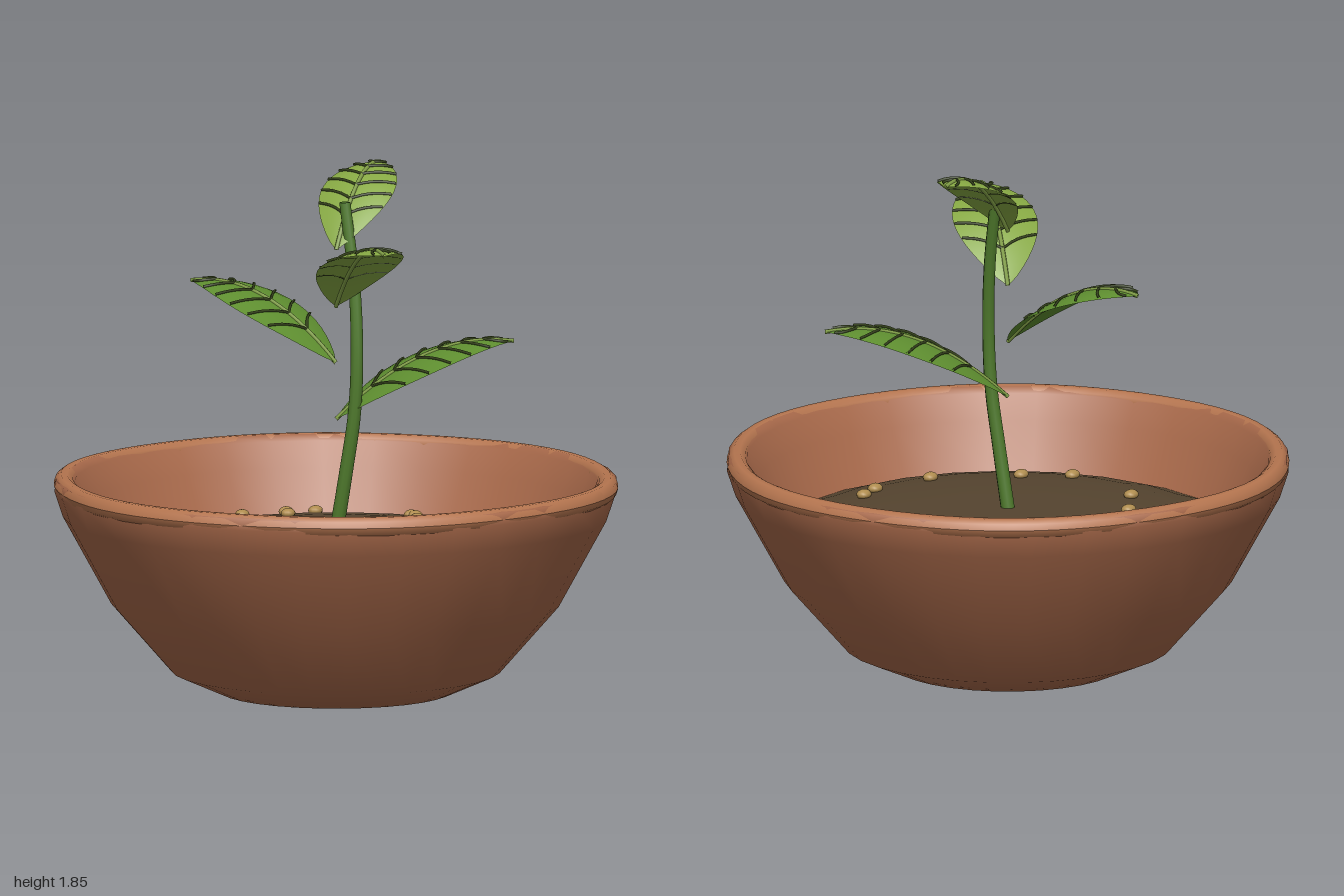
import * as THREE from 'three';

const mat = (color, side = THREE.FrontSide) =>
  new THREE.MeshStandardMaterial({ color, side });
const V2 = (p) => p.map(([x, y]) => new THREE.Vector2(x, y));

function add(parent, name, geometry, material) {
  const mesh = new THREE.Mesh(geometry, material);
  mesh.name = name;
  parent.add(mesh);
  return mesh;
}

// Height of the soil mound at distance r from the middle
const soilY = (r) => 0.58 - 0.075 * Math.pow(r / 0.79, 4);

// Leaf blade: x = distance out from the stem, y = arch, z = across
function leafPoint(leaf, s, v) {
  const half = leaf.width * Math.pow(Math.max(0, Math.sin(Math.PI * Math.pow(s, 0.95))), 0.85);
  const arch = 0.26 * (1 - Math.pow(1 - s / 0.85, 2));
  return new THREE.Vector3(s * leaf.length, arch - 0.03 * v * v * Math.sin(Math.PI * s), v * half);
}

function bladeGeometry(leaf, nu = 18, nv = 8) {
  const g = new THREE.PlaneGeometry(1, 1, nu, nv);
  const pos = g.attributes.position;
  for (let i = 0; i < pos.count; i++) {
    const p = leafPoint(leaf, pos.getX(i) + 0.5, -pos.getY(i) * 2);
    pos.setXYZ(i, p.x, p.y, p.z);
  }
  g.computeVertexNormals();
  return g;
}

function makeLeaf(leaf) {
  const group = new THREE.Group();
  group.name = 'leaf';
  add(group, 'leafBlade', bladeGeometry(leaf), mat(leaf.color, THREE.DoubleSide));

  // Midrib along the centre line
  const mid = [];
  for (let i = 0; i <= 8; i++) mid.push(leafPoint(leaf, i / 8, 0));
  add(group, 'midrib',
    new THREE.TubeGeometry(new THREE.CatmullRomCurve3(mid), 20, 0.008, 6), mat(0x7f9c45));

  // Side veins sweep towards the tip in pairs
  const veinMat = mat(0x35421c);
  for (let i = 0; i < 6; i++) {
    const s = 0.2 + i * 0.125;
    for (const side of [-1, 1]) {
      const pts = [0, 0.33, 0.66, 0.98].map((v) => {
        const p = leafPoint(leaf, Math.min(0.985, s + 0.13 * v), side * v);
        p.y += 0.004;
        return p;
      });
      add(group, 'vein',
        new THREE.TubeGeometry(new THREE.CatmullRomCurve3(pts), 8, 0.005, 5), veinMat);
    }
  }
  group.position.set(0, leaf.y, 0);
  group.rotation.y = Math.atan2(-leaf.tip[1], leaf.tip[0]);
  return group;
}

export function createModel() {
  const model = new THREE.Group();
  model.name = 'pottedSeedling';
  const clay = mat(0xa8694a, THREE.DoubleSide);

  // Bowl: outer wall, lip, then inner wall down below the soil
  add(model, 'bowl', new THREE.LatheGeometry(V2([
    [0, 0.01], [0.41, 0.015], [0.58, 0.09], [0.79, 0.33], [0.96, 0.64],
    [0.99, 0.73], [0.985, 0.77], [0.95, 0.78], [0.92, 0.76], [0.88, 0.67], [0.79, 0.5], [0.72, 0.38],
  ]), 32), clay);

  // Rolled rim, slightly uneven as if made by hand
  const rim = new THREE.TorusGeometry(0.957, 0.037, 10, 72);
  rim.rotateX(Math.PI / 2);
  const rp = rim.attributes.position;
  for (let i = 0; i < rp.count; i++) {
    const k = 1 + 0.006 * Math.cos(6 * Math.atan2(rp.getZ(i), rp.getX(i)));
    rp.setXYZ(i, rp.getX(i) * k, rp.getY(i), rp.getZ(i) * k);
  }
  rim.computeVertexNormals();
  add(model, 'rim', rim, mat(0xb5754f)).position.y = 0.746;

  // Drain disc under the bowl
  add(model, 'drainDisc', new THREE.CylinderGeometry(0.08, 0.08, 0.02, 24), clay).position.y = 0.01;

  // Mounded soil
  const soil = [0.79, 0.7, 0.6, 0.45, 0.25, 0].map((r) => [r, soilY(r)]);
  add(model, 'soil', new THREE.LatheGeometry(V2(soil), 24), mat(0x55442f, THREE.DoubleSide));

  // Pebbles scattered over the soil
  const pebbleGeo = new THREE.SphereGeometry(1, 12, 8).scale(0.025, 0.018, 0.032);
  const pebbleMat = mat(0xb08d4f);
  [[-0.28, -0.57], [-0.5, -0.42], [-0.34, -0.43], [-0.3, -0.34], [0.115, -0.46], [0.135, -0.45],
    [0.17, -0.37], [0.46, -0.41], [0.54, -0.29], [0.55, -0.05], [0.56, 0.05], [0.46, 0.27],
    [0.19, 0.44], [0.045, 0.55], [-0.29, 0.37], [-0.39, 0.17], [-0.63, 0.07], [-0.66, -0.12],
  ].forEach(([x, z]) => {
    add(model, 'pebble', pebbleGeo, pebbleMat).position.set(x, soilY(Math.hypot(x, z)) + 0.008, z);
  });

  // Bent stem, thinner towards the top
  const path = new THREE.CatmullRomCurve3([
    [0, 0.57, 0], [0.04, 0.8, 0.005], [0.07, 1.0, 0.005], [0.078, 1.2, 0],
    [0.06, 1.45, -0.025], [0.012, 1.74, -0.06],
  ].map((p) => new THREE.Vector3(...p)));
  const stem = new THREE.TubeGeometry(path, 32, 0.025, 10);
  const sp = stem.attributes.position;
  for (let i = 0; i < sp.count; i++) {
    const t = Math.floor(i / 11) / 32;
    const c = path.getPointAt(t);
    const p = new THREE.Vector3().fromBufferAttribute(sp, i).sub(c).multiplyScalar(1 - 0.22 * t).add(c);
    sp.setXYZ(i, p.x, p.y, p.z);
  }
  const green = mat(0x4f7a2c);
  add(model, 'stem', stem, green);
  add(model, 'stemTip', new THREE.CylinderGeometry(0.019, 0.019, 0.006, 10), green)
    .position.set(0.012, 1.739, -0.06);

  // Four leaves spiralling up the stem
  [
    { tip: [0.53, -0.37], y: 0.98, width: 0.18, color: 0x5f8f30 },
    { tip: [-0.57, -0.085], y: 1.18, width: 0.18, color: 0x5f8f30 },
    { tip: [0.32, 0.385], y: 1.38, width: 0.15, color: 0x86a843 },
    { tip: [0.015, -0.43], y: 1.58, width: 0.135, color: 0x86a843 },
  ].forEach((leaf) => {
    leaf.length = Math.hypot(...leaf.tip);
    model.add(makeLeaf(leaf));
  });

  return model;
}
